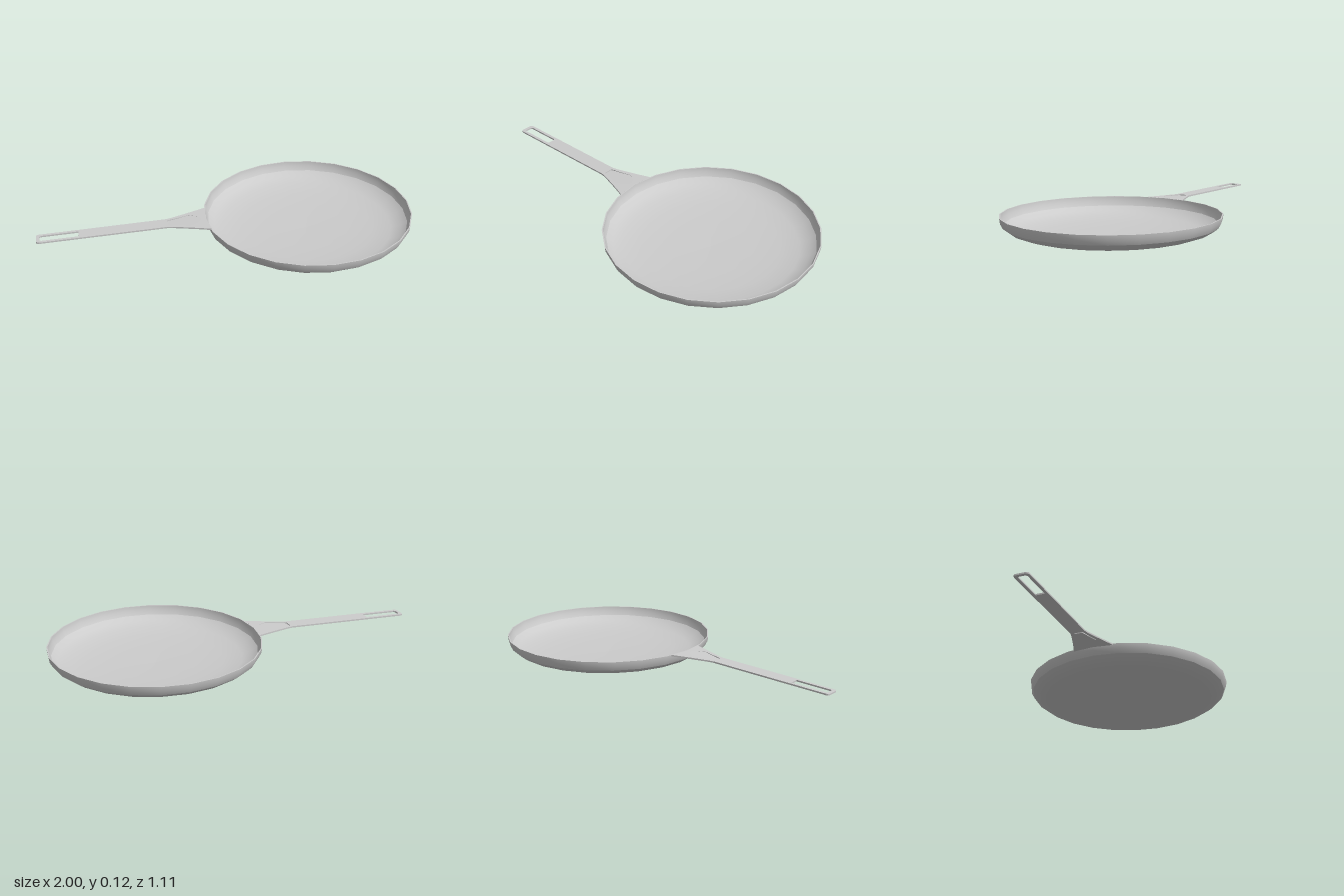
import * as THREE from 'three';

const material = new THREE.MeshStandardMaterial({ color: 0xcccccc, side: THREE.DoubleSide });
const PAN_X = 0.443, PAN_R = 0.557, RIM_Y = 0.12, THICK = 0.008;

function part(name, geometry) {
  const mesh = new THREE.Mesh(geometry, material);
  mesh.name = name;
  return mesh;
}

function lathe(name, profile) {
  const points = profile.map(([r, y]) => new THREE.Vector2(r, y));
  return part(name, new THREE.LatheGeometry(points, 24));
}

// Top of the handle, sloping gently down away from the pan
const handleTop = x => RIM_Y + (x + 0.11) * 0.038;

// Lays a flat outline (x, z) down as a sheet that follows the handle slope
function sheet(name, shape, sink) {
  const geometry = new THREE.ExtrudeGeometry(shape, { depth: THICK, bevelEnabled: false, curveSegments: 6 });
  geometry.rotateX(-Math.PI / 2);
  const p = geometry.attributes.position;
  for (let i = 0; i < p.count; i++) {
    const x = p.getX(i);
    p.setY(i, p.getY(i) - THICK + handleTop(x) - sink(x));
  }
  geometry.computeVertexNormals();
  return part(name, geometry);
}

// Closed outline from one side, mirrored across the handle's centre line
function mirrored(side, Type) {
  const other = side.map(([x, z]) => [x, -z]).reverse();
  return new Type([...side, ...other].map(([x, z]) => new THREE.Vector2(x, z)));
}

// Points along the pan's wall, for the end of the flare
function wallArc(zMax, steps) {
  const r = PAN_R - 0.006;
  return Array.from({ length: steps }, (_, i) => {
    const z = zMax * (1 - i / steps);
    return [PAN_X - Math.sqrt(r * r - z * z), z];
  });
}

export function createModel() {
  const model = new THREE.Group();

  // Pan: separate surfaces keep the edges between them sharp
  const pan = new THREE.Group();
  pan.name = 'pan';
  pan.position.x = PAN_X;
  const base = [[0, 0.003], [0.22, 0.008], [0.36, 0.016], [0.457, 0.029], [0.51, 0.047], [0.541, 0.07]];
  const wall = [[0.541, 0.07], [0.554, 0.095], [PAN_R, RIM_Y]];
  const inside = profile => profile.map(([r, y]) => [Math.max(0, r - 0.006 * r / PAN_R), y + 0.005 * (RIM_Y - y) / RIM_Y]).reverse();
  pan.add(
    lathe('panUnderside', base),
    lathe('panOuterWall', wall),
    lathe('panRim', [[PAN_R, RIM_Y], [PAN_R - 0.006, RIM_Y]]),
    lathe('panInnerWall', inside(wall)),
    lathe('panFloor', inside(base))
  );
  model.add(pan);

  // Handle: slim bar flaring into the pan, with a hanging slot
  const outline = mirrored([
    [-1, 0.03], [-0.995, 0.037], [-0.985, 0.04], [-0.32, 0.04],
    [-0.29, 0.046], [-0.2, 0.075], [-0.15, 0.092], ...wallArc(0.112, 5)
  ], THREE.Shape);
  const slot = mirrored([[-0.983, 0.017], [-0.975, 0.024], [-0.78, 0.024]], THREE.Path);
  const recessSide = [[-0.312, 0.022], [-0.3, 0.028], [-0.25, 0.038], [-0.195, 0.054], [-0.15, 0.03], [-0.135, 0.008]];
  outline.holes.push(slot, mirrored(recessSide, THREE.Path));

  const handle = new THREE.Group();
  handle.name = 'handle';
  handle.add(sheet('handleBar', outline, () => 0));

  // Shallow hollow in the flare, fading out towards the pan
  handle.add(sheet('handleHollow', mirrored(recessSide, THREE.Shape),
    x => 0.005 * THREE.MathUtils.clamp((-0.135 - x) / 0.17, 0, 1)));
  model.add(handle);

  return model;
}
